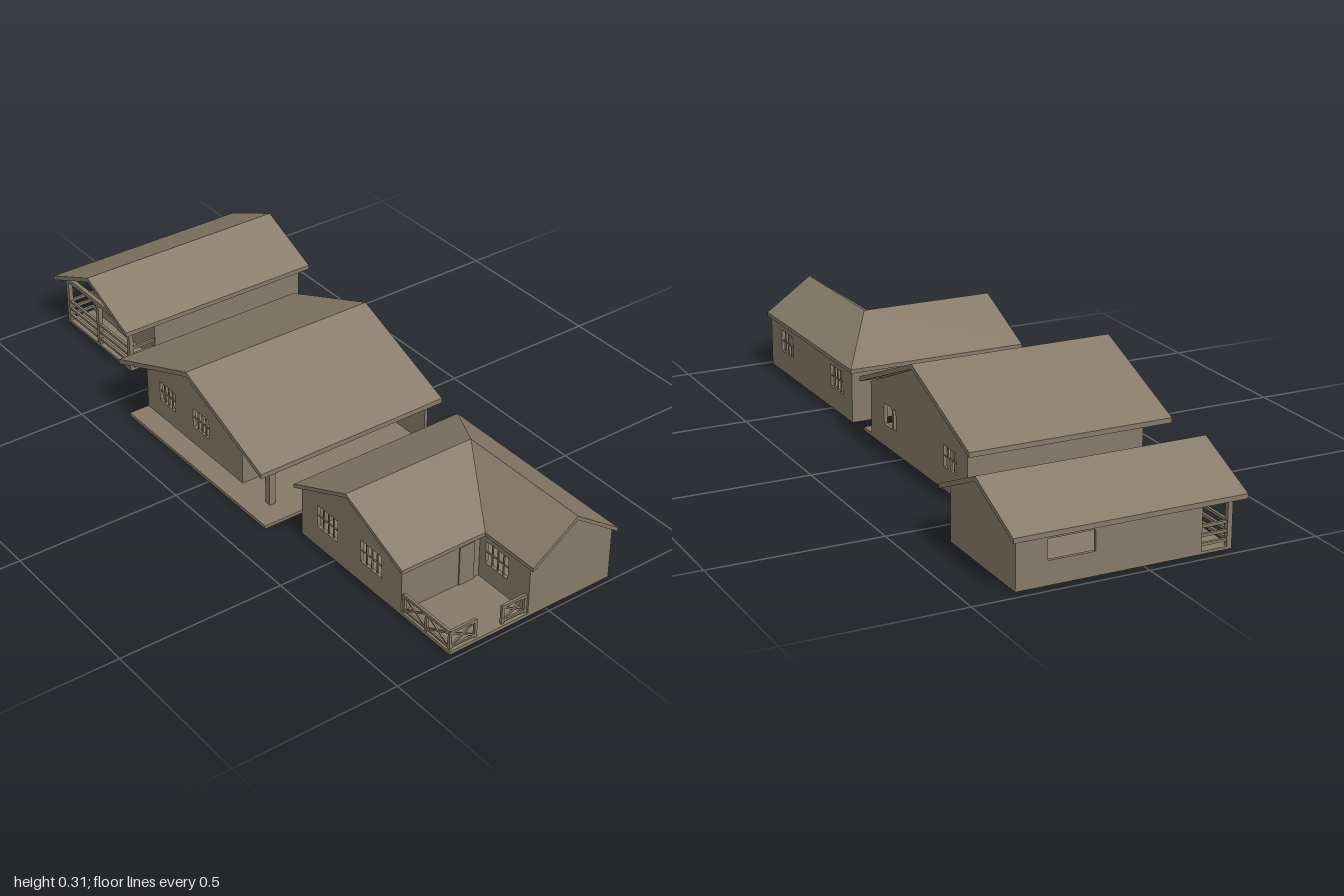
import * as THREE from 'three';
import { ConvexGeometry } from 'three/addons/geometries/ConvexGeometry.js';

const T = 0.01; // wall thickness

export function createModel() {
  const root = new THREE.Group();
  const clay = new THREE.MeshStandardMaterial({ color: 0x867a68 });
  clay.name = 'clay brown';

  function group(name) {
    const g = new THREE.Group();
    g.name = name;
    root.add(g);
    return g;
  }
  function add(parent, name, geometry) {
    const mesh = new THREE.Mesh(geometry, clay);
    mesh.name = name;
    parent.add(mesh);
    return mesh;
  }
  // box given by its limits on each axis
  function box(parent, name, x0, x1, y0, y1, z0, z1) {
    const geo = new THREE.BoxGeometry(x1 - x0, y1 - y0, z1 - z0);
    geo.translate((x0 + x1) / 2, (y0 + y1) / 2, (z0 + z1) / 2);
    return add(parent, name, geo);
  }
  // square bar between two points
  function bar(parent, name, a, b, t = 0.006) {
    const p = new THREE.Vector3(...a), q = new THREE.Vector3(...b);
    const mesh = add(parent, name, new THREE.BoxGeometry(t, t, p.distanceTo(q)));
    mesh.position.copy(p).add(q).multiplyScalar(0.5);
    mesh.lookAt(q);
  }
  const outline = (pts) => new THREE.Shape(pts.map(([u, v]) => new THREE.Vector2(u, v)));

  // upright wall with window openings [u0, u1, y0, y1, barCount];
  // 'side' walls run along z from x = at, 'front' walls run along x from z = at
  function wall(parent, name, dir, at, shape, windows = []) {
    for (const [u0, u1, y0, y1] of windows) {
      shape.holes.push(new THREE.Path([[u0, y0], [u0, y1], [u1, y1], [u1, y0]]
        .map(([u, v]) => new THREE.Vector2(u, v))));
    }
    const geo = new THREE.ExtrudeGeometry(shape, { depth: T, bevelEnabled: false, curveSegments: 8 });
    if (dir === 'side') geo.rotateY(-Math.PI / 2).translate(at + T, 0, 0);
    else geo.translate(0, 0, at);
    add(parent, name, geo);
    const place = (u, y) => (dir === 'side' ? [at + T / 2, y, u] : [u, y, at + T / 2]);
    for (const [u0, u1, y0, y1, n] of windows) {
      for (let i = 1; i <= n; i++) {
        const u = u0 + ((u1 - u0) * i) / (n + 1);
        bar(parent, 'windowBar', place(u, y0), place(u, y1), 0.004);
      }
      if (n) bar(parent, 'windowBar', place(u0, (y0 + y1) / 2), place(u1, (y0 + y1) / 2), 0.004);
    }
  }
  // flat wall outline with an optional gable peak
  const panel = (u0, u1, h, peakU, peakY) => outline(peakU === undefined
    ? [[u0, 0], [u1, 0], [u1, h], [u0, h]]
    : [[u0, 0], [u1, 0], [u1, h], [peakU, peakY], [u0, h]]);

  // sloping roof plane given by its top corners
  function roofPlane(parent, name, corners, thick) {
    const pts = [];
    for (const [x, y, z] of corners) {
      pts.push(new THREE.Vector3(x, y, z), new THREE.Vector3(x, y - thick, z));
    }
    add(parent, name, new ConvexGeometry(pts));
  }
  function gableRoof(parent, x0, x1, z0, z1, eave, ridge, thick) {
    const zm = (z0 + z1) / 2;
    for (const z of [z0, z1]) {
      roofPlane(parent, 'roofSlope',
        [[x0, eave, z], [x1, eave, z], [x1, ridge, zm], [x0, ridge, zm]], thick);
    }
  }

  // ---- front house, L-shaped with an open deck ----
  const a = group('frontHouse');
  box(a, 'floor', -0.32, 0.22, 0, 0.01, 0.35, 0.985);
  const W = [0.067, 0.136, 3];
  wall(a, 'rightWall', 'side', 0.21, panel(0.35, 0.985, 0.163), [[0.81, 0.9, ...W], [0.42, 0.51, ...W]]);
  wall(a, 'leftWall', 'side', -0.32, panel(0.35, 0.785, 0.163, 0.57, 0.258),
    [[0.42, 0.51, ...W], [0.61, 0.7, ...W]]);
  wall(a, 'wingWall', 'side', -0.06, panel(0.78, 0.985, 0.16), [[0.81, 0.9, ...W]]);
  wall(a, 'wingFront', 'front', 0.975, panel(-0.06, 0.22, 0.162, 0.08, 0.259));
  wall(a, 'porchWall', 'front', 0.775, panel(-0.32, -0.06, 0.166));
  wall(a, 'backWall', 'front', 0.35, panel(-0.32, 0.22, 0.162));
  box(a, 'door', -0.13, -0.08, 0.01, 0.133, 0.785, 0.789);

  const e = 0.168, r = 0.27, joint = [0.08, r, 0.57], valley = [-0.065, e, 0.81];
  roofPlane(a, 'roofBack', [[-0.34, e, 0.34], [0.227, e, 0.34], joint, [-0.34, r, 0.57]], 0.012);
  roofPlane(a, 'roofFront', [[-0.34, e, 0.81], valley, joint, [-0.34, r, 0.57]], 0.012);
  roofPlane(a, 'wingRoofLeft', [valley, [-0.065, e, 1], [0.08, r, 1], joint], 0.012);
  roofPlane(a, 'wingRoofRight', [[0.227, e, 0.34], [0.227, e, 1], [0.08, r, 1], joint], 0.012);

  // cross-braced deck railings
  function crossRail(p, q) {
    const at = ([x, z], y) => [x, y, z];
    bar(a, 'railPost', at(p, 0.01), at(p, 0.068), 0.008);
    bar(a, 'railPost', at(q, 0.01), at(q, 0.068), 0.008);
    bar(a, 'topRail', at(p, 0.065), at(q, 0.065), 0.008);
    bar(a, 'bottomRail', at(p, 0.017), at(q, 0.017));
    bar(a, 'brace', at(p, 0.017), at(q, 0.063), 0.005);
    bar(a, 'brace', at(p, 0.063), at(q, 0.017), 0.005);
  }
  crossRail([-0.313, 0.975], [-0.23, 0.975]);
  crossRail([-0.14, 0.975], [-0.064, 0.975]);
  crossRail([-0.313, 0.79], [-0.313, 0.882]);
  crossRail([-0.313, 0.882], [-0.313, 0.975]);

  // ---- middle house with a covered porch along its front ----
  const b = group('middleHouse');
  box(b, 'floor', -0.39, 0.217, 0, 0.01, -0.41, 0.275);
  const V = [0.067, 0.13, 3];
  wall(b, 'rightWall', 'side', 0.207, panel(-0.41, 0.22, 0.168, -0.098, 0.3),
    [[0.048, 0.128, 0.067, 0.13, 0], [-0.342, -0.262, ...V]]);
  // left gable with an arched opening and corner post
  const gable = new THREE.Shape();
  gable.moveTo(-0.41, 0).lineTo(0.075, 0).lineTo(0.075, 0.11);
  gable.quadraticCurveTo(0.13, 0.19, 0.185, 0.11);
  gable.lineTo(0.185, 0).lineTo(0.205, 0).lineTo(0.205, 0.172).lineTo(-0.098, 0.3).lineTo(-0.41, 0.168);
  wall(b, 'leftWall', 'side', -0.325, gable, [[-0.342, -0.262, ...V], [-0.17, -0.09, ...V]]);
  wall(b, 'backWall', 'front', -0.41, panel(-0.325, 0.217, 0.168));
  wall(b, 'porchWall', 'front', 0.065, panel(-0.325, 0.217, 0.22));
  box(b, 'door', -0.03, 0.03, 0.01, 0.133, 0.075, 0.079);
  box(b, 'porchPost', -0.325, -0.305, 0.01, 0.165, 0.185, 0.205);
  box(b, 'porchBeam', -0.325, 0.217, 0.155, 0.172, 0.187, 0.205);
  gableRoof(b, -0.39, 0.235, -0.455, 0.26, 0.173, 0.315, 0.015);

  // ---- back house with a railed end porch ----
  const c = group('backHouse');
  box(c, 'floor', -0.26, 0.365, 0, 0.008, -0.97, -0.61);
  wall(c, 'rightWall', 'side', 0.355, panel(-0.97, -0.61, 0.155, -0.7925, 0.235));
  wall(c, 'leftWall', 'side', -0.17, panel(-0.97, -0.61, 0.155, -0.7925, 0.235));
  wall(c, 'frontWall', 'front', -0.62, panel(-0.17, 0.365, 0.155));
  wall(c, 'backWall', 'front', -0.97, panel(-0.17, 0.365, 0.155), [[0.14, 0.275, 0.067, 0.125, 0]]);
  box(c, 'door', -0.174, -0.17, 0.008, 0.125, -0.82, -0.765);
  const px = -0.253;
  for (const z of [-0.963, -0.79, -0.617]) {
    box(c, 'porchPost', px - 0.007, px + 0.007, 0.008, 0.155, z - 0.007, z + 0.007);
  }
  box(c, 'tieBeam', px - 0.007, px + 0.007, 0.145, 0.158, -0.97, -0.61);
  for (const y of [0.025, 0.05, 0.075]) {
    bar(c, 'porchRail', [px, y, -0.963], [px, y, -0.617], 0.008);
    for (const z of [-0.963, -0.617]) bar(c, 'porchRail', [px, y, z], [-0.17, y, z], 0.008);
  }
  gableRoof(c, -0.285, 0.387, -1, -0.585, 0.157, 0.248, 0.014);

  return root;
}
